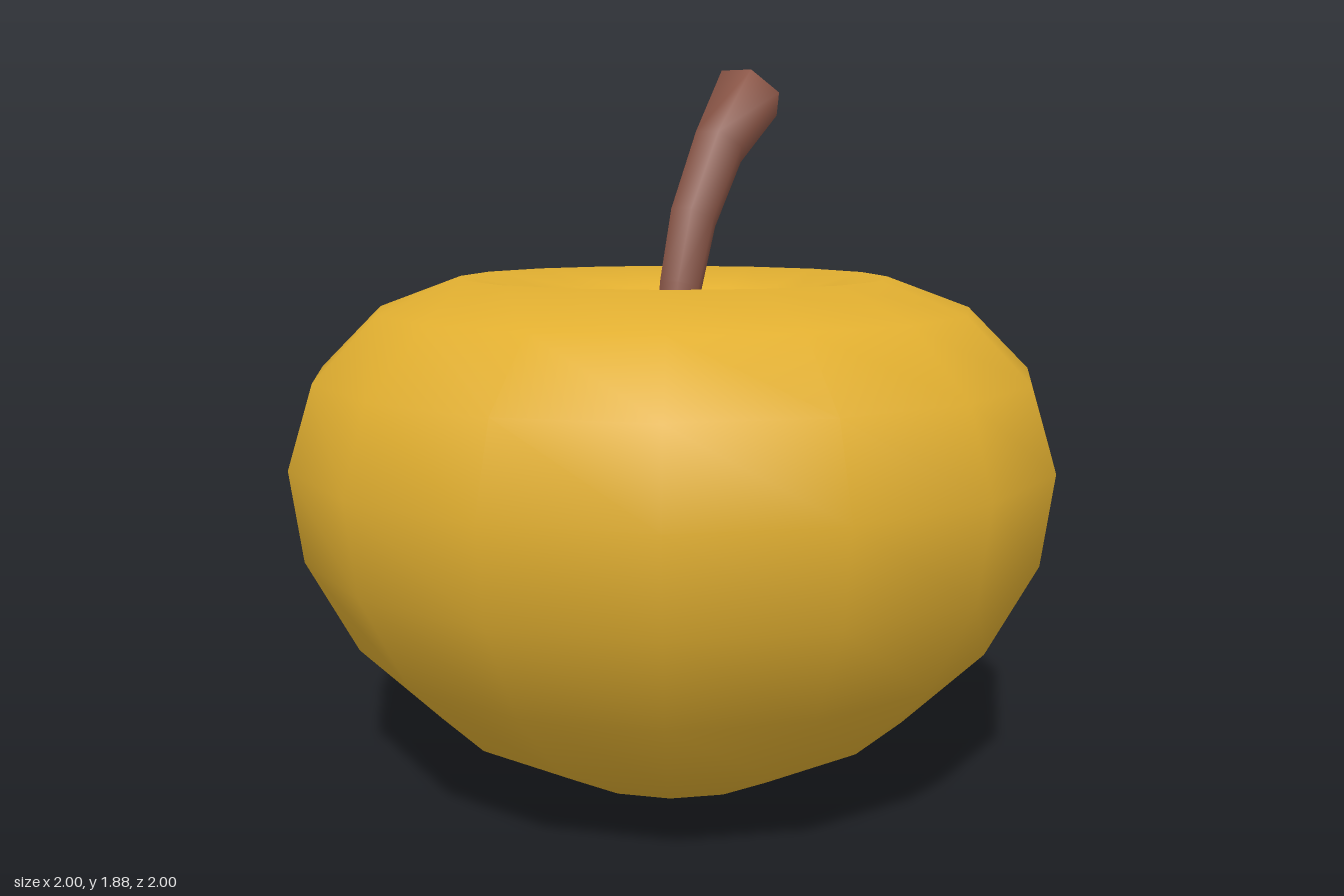
import * as THREE from 'three';

const SIDES = 6;

// Lofts a six-sided stalk along [x, y, z, radius] stations and closes both ends.
function loft(stations, reference) {
  const centres = stations.map(([x, y, z]) => new THREE.Vector3(x, y, z));
  const curve = new THREE.CatmullRomCurve3(centres);
  const positions = [];
  const index = [];
  const last = stations.length - 1;

  stations.forEach(([, , , radius], i) => {
    const t = curve.getTangent(i / last);
    const u = reference.clone().addScaledVector(t, -reference.dot(t)).normalize();
    const v = new THREE.Vector3().crossVectors(t, u);
    for (let k = 0; k < SIDES; k++) {
      const a = (k / SIDES) * Math.PI * 2;
      const p = centres[i].clone()
        .addScaledVector(u, Math.cos(a) * radius)
        .addScaledVector(v, Math.sin(a) * radius);
      positions.push(p.x, p.y, p.z);
    }
  });

  for (let i = 0; i < last; i++) {
    for (let k = 0; k < SIDES; k++) {
      const a = i * SIDES + k;
      const b = i * SIDES + ((k + 1) % SIDES);
      index.push(a, b, b + SIDES, a, b + SIDES, a + SIDES);
    }
  }

  // end caps
  const base = positions.length / 3;
  positions.push(...centres[0].toArray(), ...centres[last].toArray());
  for (let k = 0; k < SIDES; k++) {
    const n = (k + 1) % SIDES;
    index.push(base, n, k);
    index.push(base + 1, last * SIDES + k, last * SIDES + n);
  }

  const geometry = new THREE.BufferGeometry();
  geometry.setAttribute('position', new THREE.Float32BufferAttribute(positions, 3));
  geometry.setIndex(index);
  geometry.computeVertexNormals();
  return geometry;
}

export function createModel() {
  const skin = new THREE.MeshStandardMaterial({ color: 0xe0ae30 });
  skin.name = 'golden skin';
  const bark = new THREE.MeshStandardMaterial({ color: 0x8a5546 });
  bark.name = 'brown stem';

  const model = new THREE.Group();
  model.name = 'apple';

  // fruit: a turned profile from the underside up and into the stem hollow
  const profile = [
    [0, 0.02], [0.19, 0], [0.35, 0.035], [0.64, 0.2], [0.845, 0.41],
    [0.97, 0.65], [1, 0.88], [0.935, 1.09], [0.775, 1.25], [0.56, 1.33],
    [0.36, 1.28], [0.18, 1.16], [0, 1.1],
  ].map(([r, y]) => new THREE.Vector2(r, y));
  const fruit = new THREE.Mesh(new THREE.LatheGeometry(profile, 16), skin);
  fruit.name = 'fruit';
  model.add(fruit);

  // stem: leans to its left and back, thickening toward the tip
  const stem = new THREE.Mesh(loft([
    [-0.01, 1.08, 0.01, 0.045],
    [0.035, 1.3, -0.035, 0.06],
    [0.085, 1.48, -0.07, 0.067],
    [0.185, 1.67, -0.135, 0.076],
    [0.305, 1.82, -0.2, 0.1],
  ], new THREE.Vector3(-0.08, 0.06, -0.01)), bark);
  stem.name = 'stem';
  model.add(stem);

  return model;
}
